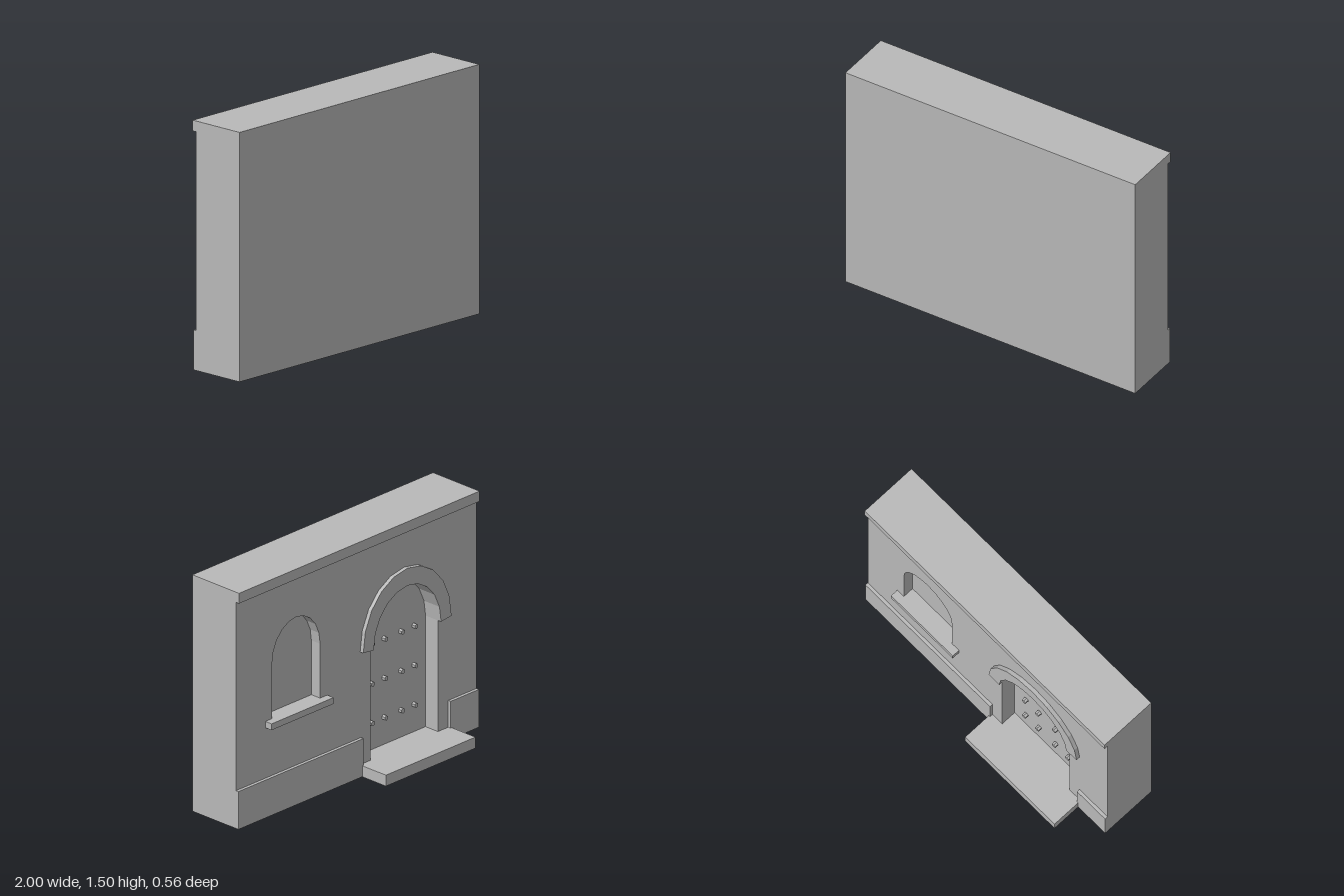
import * as THREE from 'three';

const FACE = -0.07; // plane of the decorated wall face

// Points of a low-poly elliptical arch, running from +x to -x
function archPoints(cx, springY, halfWidth, rise, segments = 10) {
  const points = [];
  for (let i = 0; i <= segments; i++) {
    const a = (Math.PI * i) / segments;
    points.push(new THREE.Vector2(cx + halfWidth * Math.cos(a), springY + rise * Math.sin(a)));
  }
  return points;
}

// Arched opening with straight jambs down to bottomY
function openingPath({ cx, bottomY, springY, halfWidth, rise }) {
  return new THREE.Path([
    new THREE.Vector2(cx - halfWidth, bottomY),
    new THREE.Vector2(cx + halfWidth, bottomY),
    ...archPoints(cx, springY, halfWidth, rise),
  ]);
}

export function createModel() {
  const group = new THREE.Group();
  const stone = new THREE.MeshStandardMaterial({ color: 0xb8b8b8 });
  stone.name = 'greyStone';

  function add(name, geometry, x = 0, y = 0, z = 0) {
    const mesh = new THREE.Mesh(geometry, stone);
    mesh.name = name;
    mesh.position.set(x, y, z);
    group.add(mesh);
    return mesh;
  }
  function box(name, x0, x1, y0, y1, z0, z1) {
    return add(name, new THREE.BoxGeometry(x1 - x0, y1 - y0, z1 - z0),
      (x0 + x1) / 2, (y0 + y1) / 2, (z0 + z1) / 2);
  }
  function extrude(name, shape, z0, z1) {
    return add(name, new THREE.ExtrudeGeometry(shape, { depth: z1 - z0, bevelEnabled: false }), 0, 0, z0);
  }
  function wallLayer(name, openings, z0, z1) {
    const shape = new THREE.Shape([
      new THREE.Vector2(-1, 0), new THREE.Vector2(1, 0),
      new THREE.Vector2(1, 1.5), new THREE.Vector2(-1, 1.5),
    ]);
    shape.holes = openings.map(openingPath);
    return extrude(name, shape, z0, z1);
  }

  const door = { cx: -0.4, bottomY: 0.07, springY: 0.775, halfWidth: 0.28, rise: 0.32 };
  const window = { cx: 0.5, bottomY: 0.6, springY: 0.945, halfWidth: 0.2, rise: 0.235 };

  // Wall: layers with the recessed openings over a solid core
  wallLayer('wallFace', [door, window], FACE, 0);
  wallLayer('wallDoorRecess', [door], 0, 0.03);
  box('wallCore', -1, 1, 0, 1.5, 0.03, 0.28);

  // Mouldings along the wall
  box('cornice', -1, 1, 1.435, 1.5, -0.095, FACE);
  box('plinthLeft', -0.04, 1, 0, 0.24, -0.09, FACE);
  box('plinthRight', -1, -0.765, 0, 0.24, -0.09, FACE);

  box('doorStep', -0.775, -0.03, 0, 0.07, -0.28, FACE);
  box('windowSill', 0.24, 0.755, 0.56, 0.6, -0.12, FACE);

  // Hood moulding over the door
  const outer = archPoints(door.cx, 0.785, 0.367, 0.42);
  const inner = archPoints(door.cx, door.springY, door.halfWidth, door.rise).reverse();
  extrude('doorHood', new THREE.Shape([...outer, ...inner]), -0.095, FACE);

  // Studs in three rows on the door
  const studGeometry = new THREE.CylinderGeometry(0.016, 0.016, 0.025, 6).toNonIndexed();
  studGeometry.rotateX(Math.PI / 2);
  studGeometry.computeVertexNormals();
  for (const y of [0.245, 0.495, 0.745]) {
    for (const dx of [-0.18, -0.07, 0.07, 0.18]) {
      add('doorStud', studGeometry, door.cx + dx, y, 0.0185);
    }
  }

  return group;
}
